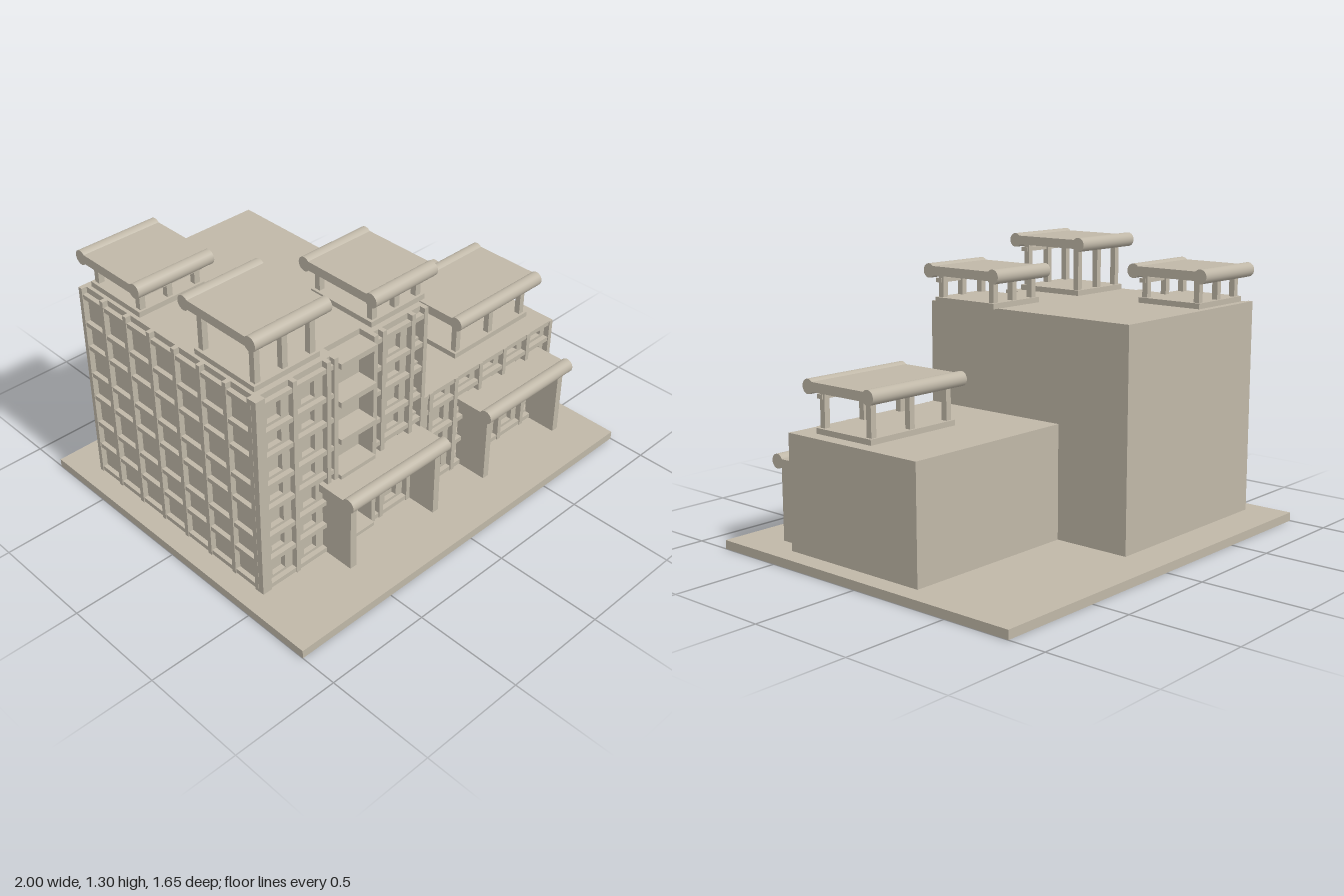
import * as THREE from 'three';

const concrete = new THREE.MeshStandardMaterial({ color: 0xbfb7a7 });
concrete.name = 'concrete';

// Box given by its min/max extents
function box(parent, name, x0, x1, y0, y1, z0, z1) {
  const m = new THREE.Mesh(new THREE.BoxGeometry(x1 - x0, y1 - y0, z1 - z0), concrete);
  m.position.set((x0 + x1) / 2, (y0 + y1) / 2, (z0 + z1) / 2);
  m.name = name;
  parent.add(m);
}

// Round roll along x, used on every roof edge
function roll(parent, x0, x1, y, z, r = 0.033) {
  const m = new THREE.Mesh(new THREE.CylinderGeometry(r, r, x1 - x0, 24), concrete);
  m.rotation.z = Math.PI / 2;
  m.position.set((x0 + x1) / 2, y, z);
  m.name = 'roofRoll';
  parent.add(m);
}

// Facade in its own xy plane: wall with window holes plus a raised grid
function facade(name, cols, rows, top, wide = 0.07) {
  const g = new THREE.Group();
  g.name = name;
  const x0 = cols[0], x1 = cols[cols.length - 1];
  const wall = new THREE.Shape([[x0, 0.04], [x1, 0.04], [x1, top], [x0, top]].map(p => new THREE.Vector2(...p)));
  for (let i = 0; i < cols.length - 1; i++) {
    const w = Math.min(wide, (cols[i + 1] - cols[i]) * 0.5), cx = (cols[i] + cols[i + 1]) / 2;
    for (let j = 0; j < rows.length - 1; j++) {
      const a = rows[j] + 0.025, b = rows[j + 1] - 0.025;
      wall.holes.push(new THREE.Path([[cx - w / 2, a], [cx - w / 2, b], [cx + w / 2, b], [cx + w / 2, a]]
        .map(p => new THREE.Vector2(...p))));
    }
  }
  const m = new THREE.Mesh(new THREE.ExtrudeGeometry(wall, { depth: 0.025, bevelEnabled: false }), concrete);
  m.name = 'windowWall';
  g.add(m);
  cols.forEach((x, i) => {
    const a = i === 0 ? 0 : 0.011, b = i === cols.length - 1 ? 0 : 0.011;
    box(g, 'facadeColumn', x - a - (i === cols.length - 1 ? 0.011 : 0), x + b + (i === 0 ? 0.011 : 0), 0.04, top, 0.02, 0.053);
  });
  rows.forEach(y => box(g, 'facadeBand', x0, x1, y - 0.011, y + 0.011, 0.02, 0.049));
  return g;
}

// Roof pavilion: plinth, posts, front beam, slab and two edge rolls
function pavilion(name, { x, posts, zf, zb, floor, y }) {
  const g = new THREE.Group();
  g.name = name;
  const p0 = posts[0] - 0.018, p1 = posts[2] + 0.018;
  box(g, 'plinth', p0 - 0.01, p1 + 0.01, floor, floor + 0.025, zb + 0.015, zf - 0.015);
  for (const px of posts) for (const pz of [zf - 0.04, zb + 0.04])
    box(g, 'post', px - 0.014, px + 0.014, floor + 0.02, y - 0.015, pz - 0.014, pz + 0.014);
  box(g, 'frontBeam', p0, p1, y - 0.055, y - 0.035, zf - 0.045, zf - 0.012);
  box(g, 'roofSlab', x[0], x[1], y - 0.02, y + 0.022, zb, zf);
  roll(g, x[0], x[1], y, zf);
  roll(g, x[0], x[1], y, zb);
  return g;
}

// Entrance canopy on two deep walls
function portico(name, x0, x1, legs) {
  const g = new THREE.Group();
  g.name = name;
  for (const lx of legs) box(g, 'sideWall', lx - 0.017, lx + 0.017, 0.04, 0.385, 0.455, 0.625);
  box(g, 'canopySlab', x0, x1, 0.376, 0.416, 0.44, 0.63);
  roll(g, x0, x1, 0.402, 0.628);
  return g;
}

export function createModel() {
  const model = new THREE.Group();
  model.name = 'building';
  box(model, 'groundSlab', -1, 1, 0, 0.04, -0.825, 0.825);

  // Tower core, with a balcony recess in its front
  const plan = new THREE.Shape([[-0.88, 0.64], [0.04, 0.64], [0.04, -0.432], [-0.275, -0.432], [-0.275, -0.4],
    [-0.475, -0.4], [-0.475, -0.432], [-0.88, -0.432]].reverse().map(p => new THREE.Vector2(...p)));
  const tower = new THREE.Mesh(new THREE.ExtrudeGeometry(plan, { depth: 0.99, bevelEnabled: false }), concrete);
  tower.rotation.x = -Math.PI / 2;
  tower.position.y = 0.04;
  tower.name = 'tower';
  model.add(tower);
  box(model, 'wing', 0.04, 0.91, 0.04, 0.56, -0.27, 0.432);

  // Facades
  const rows = [0.055, 0.19, 0.315, 0.46, 0.583, 0.727, 0.85, 0.99];
  const wingRows = [...rows.slice(0, 4), 0.549];
  const fronts = [
    facade('towerFrontLeft', [-0.88, -0.705, -0.525, -0.475], rows, 1.03),
    facade('towerFrontRight', [-0.275, -0.215, -0.045, 0.04], rows, 1.03),
    facade('wingFront', [0.04, 0.085, 0.248, 0.411, 0.574, 0.737, 0.91], wingRows, 0.56),
  ];
  fronts.forEach(f => { f.position.z = 0.432; model.add(f); });
  const sideCols = Array.from({ length: 8 }, (_, i) => -0.64 + i * 1.097 / 7);
  const side = facade('towerSide', sideCols, rows, 1.03);
  side.rotation.y = -Math.PI / 2;
  side.position.x = -0.853;
  model.add(side);
  box(model, 'cornerColumn', -0.905, -0.87, 0.04, 1.03, 0.45, 0.485);

  // Balconies
  for (let i = 0; i < 6; i++) {
    const y = 0.99 - i * 0.189;
    box(model, 'balcony', -0.475, -0.275, y - 0.013, y + 0.013, 0.395, 0.502);
  }

  // Roof pavilions
  const left = { x: [-0.89, -0.5], posts: [-0.835, -0.695, -0.55], floor: 1.03 };
  model.add(
    pavilion('tallPavilion', { ...left, zf: 0.445, zb: 0.06, y: 1.272 }),
    pavilion('tallPavilionBack', { ...left, zf: -0.26, zb: -0.62, y: 1.176 }),
    pavilion('towerRightPavilion', { x: [-0.26, 0.097], posts: [-0.21, -0.08, 0.045], floor: 1.03, zf: 0.445, zb: 0.06, y: 1.176 }),
    pavilion('wingPavilion', { x: [0.325, 0.873], posts: [0.378, 0.597, 0.817], floor: 0.56, zf: 0.395, zb: 0.035, y: 0.764 }),
  );

  // Entrances
  model.add(portico('leftEntrance', -0.56, 0.024, [-0.523, -0.015]), portico('rightEntrance', 0.285, 0.857, [0.322, 0.82]));
  return model;
}
